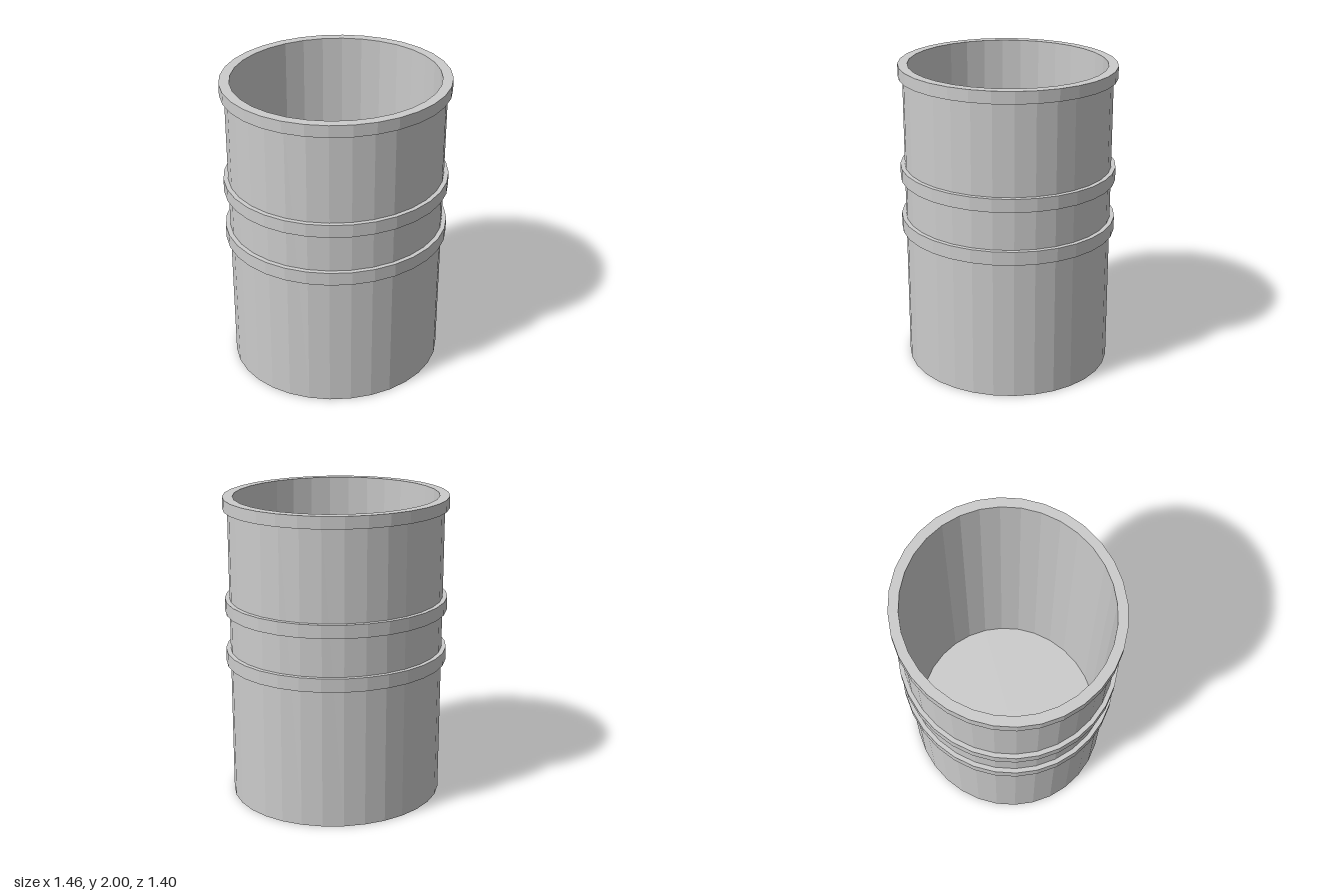
import * as THREE from 'three';

const SEGMENTS = 32;
const BODY_R = 0.702, INNER_R = 0.667, BAND_R = 0.732;
const DEPTH_RATIO = 0.953; // slightly oval: narrower along z

export function createModel() {
  const group = new THREE.Group();
  group.name = 'barrel';
  const material = new THREE.MeshStandardMaterial({ color: 0xcccccc, flatShading: true });

  // Revolve a profile of [radius, height] pairs, squashed into an oval
  const addTurned = (name, profile) => {
    const points = profile.map(([r, y]) => new THREE.Vector2(r, y));
    const geometry = new THREE.LatheGeometry(points, SEGMENTS);
    geometry.scale(1, 1, DEPTH_RATIO);
    const mesh = new THREE.Mesh(geometry, material);
    mesh.name = name;
    group.add(mesh);
  };

  // Hollow shell: base, outer wall, rim, inner wall, floor
  addTurned('shell', [
    [0, 0], [BODY_R, 0], [BODY_R, 2], [INNER_R, 2], [INNER_R, 0.04], [0, 0.04],
  ]);

  // Raised hoops around the wall
  const hoops = [
    ['lowerHoop', 0.912, 1.0],
    ['upperHoop', 1.254, 1.34],
    ['rimHoop', 1.922, 2.0],
  ];
  for (const [name, bottom, top] of hoops) {
    addTurned(name, [[BODY_R, bottom], [BAND_R, bottom], [BAND_R, top], [BODY_R, top]]);
  }

  return group;
}
